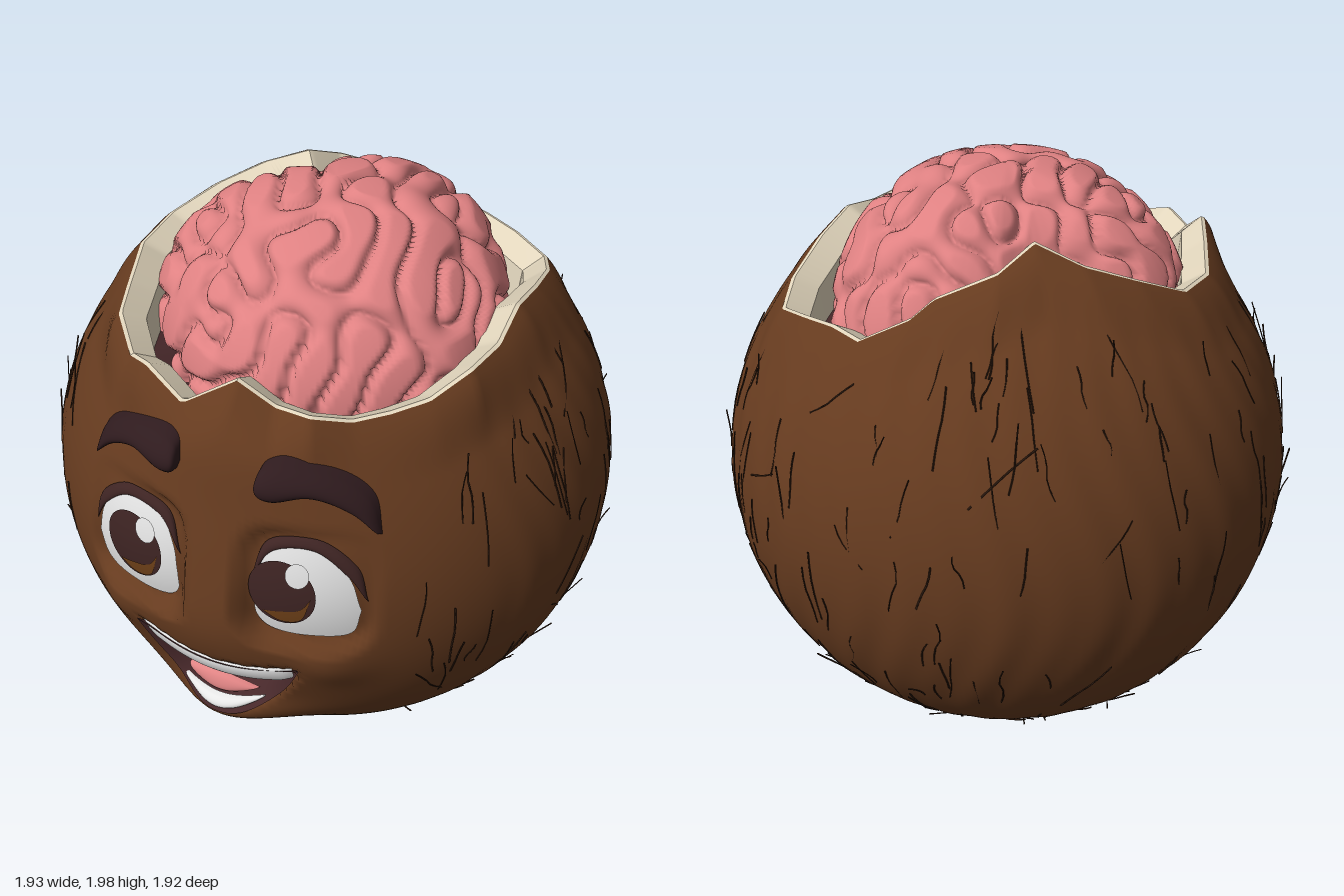
import * as THREE from 'three';
import { mergeGeometries, toCreasedNormals } from 'three/addons/utils/BufferGeometryUtils.js';

const R = 0.945, CY = 0.96, COLS = 256;
const V = (x, y, z) => new THREE.Vector3(x, y, z);
const smooth = THREE.MathUtils.smoothstep;
const mat = (name, color) => new THREE.MeshStandardMaterial({ name, color, side: THREE.DoubleSide });
const M = {
  husk: mat('husk brown', 0x663b1f), fibre: mat('fibre dark brown', 0x301c10),
  flesh: mat('coconut cream', 0xe2d6bd), hollow: mat('hollow maroon', 0x47282a),
  brain: mat('brain pink', 0xdf8182), white: mat('white', 0xf2f2f2),
  brow: mat('brow dark', 0x2f1b1e), pupil: mat('pupil dark', 0x3e2423),
  iris: mat('iris brown', 0x6e4018), tongue: mat('tongue pink', 0xe08484),
};
let seed = 7;
const rnd = () => (seed = (seed * 16807) % 2147483647) / 2147483647;

// Surface through a grid of points, optionally wrapping around
function loft(rows, wrap) {
  const n = rows[0].length, pos = [], idx = [];
  rows.forEach(r => r.forEach(p => pos.push(p.x, p.y, p.z)));
  for (let i = 0; i < rows.length - 1; i++) {
    for (let j = 0; j < (wrap ? n : n - 1); j++) {
      const k = (j + 1) % n, a = i * n + j, b = a + n, c = (i + 1) * n + k, d = i * n + k;
      idx.push(a, b, c, a, c, d);
    }
  }
  const g = new THREE.BufferGeometry();
  g.setAttribute('position', new THREE.Float32BufferAttribute(pos, 3));
  g.setIndex(idx);
  g.computeVertexNormals();
  return g;
}

// Face relief: forehead, upper lip, chin, cheeks, mouth hollow and eye sockets
const bump = (x, y, cx, cy, sx, sy) => Math.exp(-(((x - cx) / sx) ** 2) - ((y - cy) / sy) ** 2);
const lipTop = x => 0.77 + 0.04 * (x / 0.285) ** 2;
const lipBottom = x => 0.52 + 0.29 * Math.pow(Math.abs(x) / 0.285, 2.5);
const sphereZ = (x, y) => Math.sqrt(Math.max(0, R * R - x * x - (y - CY) ** 2));
const eyeZ = (x, y) => 0.9 - 1.1 * (Math.abs(x) - 0.18) ** 2 - 0.9 * (y - 1.06) ** 2;
function relief(x, y, mouth = true) {
  const ax = Math.abs(x);
  let d = 0.08 * bump(x, y, 0, 1.6, 0.4, 0.2) + 0.025 * bump(x, y, 0, 0.88, 0.25, 0.18)
    + 0.1 * bump(x, y, 0, 0.49, 0.22, 0.085) + 0.03 * bump(ax, y, 0.38, 0.82, 0.1, 0.1);
  if (mouth) d -= 0.12 * smooth(Math.min(lipTop(x) - y, y - lipBottom(x)), 0, 0.07);
  const q = (((ax - 0.29) / 0.165) ** 4 + ((y - 1.1) / 0.175) ** 4) ** 0.25;
  return THREE.MathUtils.lerp(eyeZ(x, y) - 0.015 - sphereZ(x, y), d, smooth(q, 1.02, 1.3));
}
const mouthZ = (x, y) => sphereZ(x, y) + relief(x, y);
const faceZ = (x, y) => sphereZ(x, y) + relief(x, y, false);

// Jagged edge of the opening, as x, y, z
const RIM = [
  [.18, 1.63, -.65], [.3, 1.63, -.6], [.43, 1.61, -.55], [.56, 1.58, -.48], [.61, 1.62, -.34], [.63, 1.68, -.13],
  [.63, 1.72, .05], [.63, 1.68, .22], [.6, 1.68, .38], [.52, 1.63, .5], [.43, 1.61, .58], [.34, 1.6, .65],
  [.24, 1.63, .72], [.12, 1.62, .7], [0, 1.68, .7], [-.16, 1.585, .75], [-.31, 1.64, .69], [-.4, 1.61, .63],
  [-.48, 1.69, .55], [-.55, 1.68, .38], [-.64, 1.68, .14], [-.63, 1.7, -.05], [-.52, 1.77, -.18],
  [-.39, 1.83, -.28], [-.24, 1.89, -.31], [-.18, 1.83, -.44], [-.02, 1.76, -.54], [.03, 1.71, -.6],
].map(p => V(...p));
// Point on a closed loop at a given angle around the y axis
function loopAt(loop, angle) {
  const rel = (a, b) => THREE.MathUtils.euclideanModulo(a - b, Math.PI * 2);
  const ang = p => Math.atan2(p.z, p.x);
  for (let i = 0; i < loop.length; i++) {
    const a = loop[i], b = loop[(i + 1) % loop.length];
    const span = rel(ang(b), ang(a)), at = rel(angle, ang(a));
    if (at <= span) return a.clone().lerp(b, at / span);
  }
  return loop[0].clone();
}
const angles = Array.from({ length: COLS }, (_, j) => j / COLS * Math.PI * 2);

const rimPolar = angles.map(a => {
  const p = loopAt(RIM, a);
  p.z -= relief(p.x, p.y) * smooth(p.z, 0, 0.4);
  p.y -= CY;
  return { r: p.length(), polar: Math.acos(-p.y / p.length()), phi: Math.atan2(p.z, p.x) };
});
function huskRows() {
  const rows = [];
  for (let i = 0; i <= 110; i++) {
    const t = i / 110;
    rows.push(rimPolar.map(e => {
      const a = e.polar * t, s = Math.sin(a);
      const front = smooth(s * Math.sin(e.phi), 0.35, 0.65);
      const streak = Math.sin(38 * e.phi + 3 * Math.sin(5 * a)) + Math.sin(23 * e.phi - 4 * Math.sin(3 * a));
      const r = R + (e.r - R) * smooth(t, 0.9, 1) + 0.002 * streak * s * s * (1 - front) * (1 - smooth(t, 0.9, 1));
      const p = V(r * s * Math.cos(e.phi), CY - r * Math.cos(a), r * s * Math.sin(e.phi));
      p.z += relief(p.x, p.y) * smooth(p.z, 0, 0.4);
      return p;
    }));
  }
  return rows;
}

// Loose strands that follow the husk from bottom to top
function fibres() {
  const parts = [];
  while (parts.length < 270) {
    const e = rimPolar[Math.floor(rnd() * COLS)];
    const a0 = 0.4 + rnd() * (e.polar - 0.5), len = 0.08 + rnd() * 0.22;
    const drift = (rnd() - 0.5) * (rnd() < 0.15 ? 0.5 : 0.1), flare = rnd() < 0.3 ? 0.025 : 0.003;
    if (a0 + len > e.polar - 0.06) continue;
    const pts = [0, 1, 2, 3].map(k => {
      const u = k / 3, a = a0 + len * u, ph = e.phi + drift * u + (rnd() - 0.5) * 0.02;
      const r = R + 0.001 + flare * u * u;
      return V(r * Math.sin(a) * Math.cos(ph), CY - r * Math.cos(a), r * Math.sin(a) * Math.sin(ph));
    });
    if (pts.some(p => p.z > 0 && Math.abs(p.x) < 0.56 && p.y > 0.3)) continue;
    parts.push(new THREE.TubeGeometry(new THREE.CatmullRomCurve3(pts), 5, 0.002 + rnd() * 0.0015, 3));
  }
  return mergeGeometries(parts);
}

// Dome with a lobed plan and winding folds
function brainGeometry() {
  const plan = [[.1, -.57], [.35, -.49], [.52, -.22], [.58, 0], [.54, .3], [.37, .5], [.1, .62], [-.15, .59], [-.4, .42],
    [-.56, .17], [-.53, -.06], [-.24, -.26], [-.14, -.45]].map(([x, z]) => V(x, 0, z));
  const outline = new THREE.CatmullRomCurve3(plan, true).getSpacedPoints(90).slice(0, 90);
  const waves = Array.from({ length: 14 }, () => ({
    k: V(rnd() - 0.5, rnd() - 0.5, rnd() - 0.5).normalize().multiplyScalar(30 + rnd() * 5), f: rnd() * 6.28,
  }));
  const edge = angles.map(a => loopAt(outline, a));
  const rows = [];
  for (let i = 0; i <= 90; i++) {
    const a = -0.2 + (Math.PI / 2 + 0.2) * i / 90, c = Math.pow(Math.max(0, Math.cos(a)), 0.92);
    rows.push(edge.map(q => {
      const p = V(q.x * c, 0.49 * Math.sin(a), q.z * c);
      const field = waves.reduce((s, w) => s + Math.cos(w.k.dot(p) + w.f), 0) / Math.sqrt(14);
      const fold = Math.sqrt(Math.min(1, Math.abs(field) * 1.4));
      p.multiplyScalar(0.93 + 0.085 * fold);
      p.y += 1.5;
      return p;
    }));
  }
  return loft(rows, true);
}

export function createModel() {
  const group = new THREE.Group();
  const add = (name, geometry, material) => {
    const m = new THREE.Mesh(geometry, material);
    m.name = name;
    group.add(m);
  };

  // Shell, broken edge and hollow
  const husk = huskRows(), rim = husk[husk.length - 1];
  const inset = (d, dy) => rim.map(p => {
    const s = 1 - d / Math.hypot(p.x, p.z);
    return V(p.x * s, p.y + dy, p.z * s);
  });
  const wall = inset(0.1, -0.16);
  add('husk', loft(husk, true), M.husk);
  add('fibres', fibres(), M.fibre);
  add('fleshRim', toCreasedNormals(loft([rim, inset(0.012, 0.004), inset(0.085, -0.04), wall], true), 0.6), M.flesh);
  add('hollowFloor', loft([wall, wall.map(() => V(0, 1.4, 0))], true), M.hollow);
  add('brain', brainGeometry(), M.brain);

  // Face plate between an upper and a lower curve, both listed left to right
  function plate(name, top, bottom, material, lift, dome = 0, baseZ = faceZ) {
    const curve = l => new THREE.CatmullRomCurve3(l.map(([x, y]) => V(x, y, 0)));
    const T = curve(top), B = curve(bottom), rows = [];
    for (let i = 0; i <= 36; i++) {
      const u = i / 36, t = T.getPoint(u), b = B.getPoint(u);
      rows.push(Array.from({ length: 15 }, (_, j) => {
        const v = j / 14, p = b.clone().lerp(t, v);
        const round = Math.pow(Math.max(0, Math.sin(Math.PI * u) * Math.sin(Math.PI * v)), 0.4);
        p.z = baseZ(p.x, p.y) + lift + dome * round;
        return p;
      }));
    }
    add(name, loft(rows, false), material);
  }
  function eyeOval(name, cx, cy, rx, ry, material, lift) {
    const arc = s => Array.from({ length: 13 }, (_, i) => {
      const a = Math.PI * (1 - i / 12);
      return [cx + rx * Math.cos(a), cy + s * ry * Math.sin(a)];
    });
    plate(name, arc(1), arc(-1), material, lift, 0, eyeZ);
  }
  const span = (x0, x1, f) => Array.from({ length: 15 }, (_, i) => {
    const x = x0 + (x1 - x0) * i / 14;
    return [x, f(x)];
  });

  // Eyes and brows
  for (const s of [1, -1]) {
    const side = s > 0 ? 'left' : 'right';
    const flip = l => s > 0 ? l : l.map(([x, y]) => [-x, y]).reverse();
    plate(side + 'Lash', flip([[.12, 1.12], [.165, 1.26], [.31, 1.29], [.43, 1.205], [.465, 1.08]]),
      flip([[.12, 1.12], [.19, 1.235], [.31, 1.255], [.41, 1.175], [.465, 1.08]]), M.pupil, 0.008, 0.015);
    plate(side + 'EyeWhite', flip([[.13, 1.05], [.14, 1.15], [.19, 1.245], [.3, 1.265], [.41, 1.18], [.45, 1.05]]),
      flip([[.13, 1.05], [.135, .975], [.17, .935], [.31, .93], [.42, .95], [.45, 1.05]]), M.white, 0, 0, eyeZ);
    const cx = s > 0 ? 0.22 : -0.288;
    eyeOval(side + 'Pupil', cx, 1.095, 0.107, 0.117, M.pupil, 0.004);
    plate(side + 'Iris', [[cx - .06, 1.015], [cx, 1.03], [cx + .06, 1.05], [cx + .095, 1.1]],
      [[cx - .06, 1.015], [cx, .988], [cx + .06, 1.005], [cx + .095, 1.1]], M.iris, 0.007, 0, eyeZ);
    eyeOval(side + 'Highlight', cx + 0.05, 1.175, 0.036, 0.042, M.white, 0.008);
    plate(side + 'Brow', flip([[.125, 1.45], [.14, 1.51], [.2, 1.53], [.33, 1.5], [.44, 1.42], [.48, 1.3]]),
      flip([[.125, 1.45], [.14, 1.415], [.18, 1.405], [.28, 1.425], [.39, 1.38], [.48, 1.3]]), M.brow, -0.005, 0.065);
  }

  // Mouth
  plate('mouth', span(-.285, .285, lipTop), span(-.285, .285, lipBottom), M.hollow, 0.012, 0, mouthZ);
  plate('upperTeeth', span(-.27, .255, x => lipTop(x) - 0.003),
    span(-.27, .255, x => Math.max(0.69 + 0.04 * (x / 0.26) ** 2, lipBottom(x) + 0.005)), M.white, -0.004, 0.016);
  plate('tongue', span(-.18, .11, x => 0.62 - 0.03 * ((x + .035) / .145) ** 2),
    span(-.18, .11, x => 0.555 + 0.035 * ((x + .035) / .145) ** 2), M.tongue, -0.04, 0.025);
  plate('lowerTeeth', span(-.165, .14, x => 0.568 + 0.025 * ((x + .012) / .152) ** 2),
    span(-.165, .14, x => 0.525 + 0.06 * ((x + .012) / .152) ** 2), M.white, -0.008, 0.022);
  return group;
}
